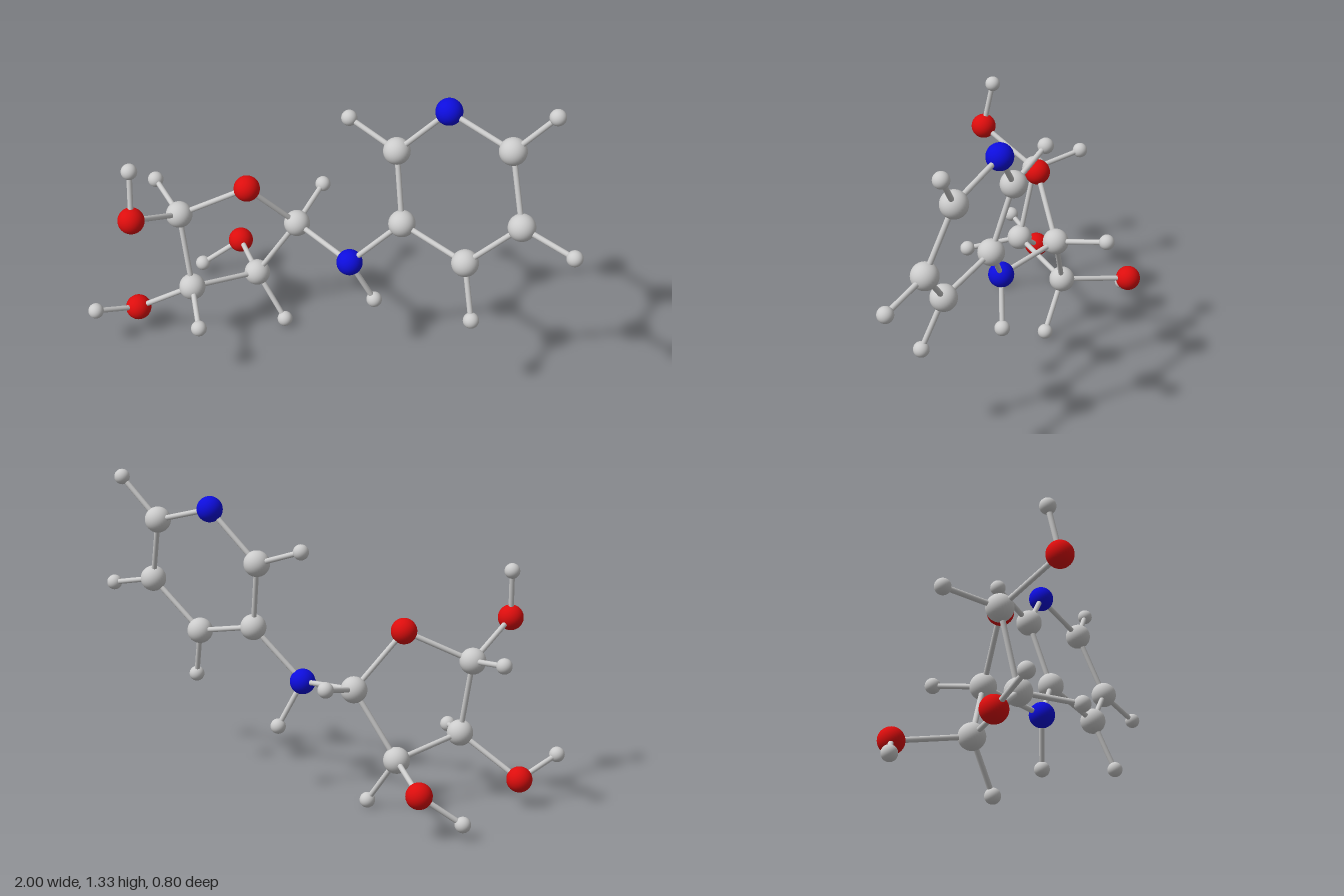
import * as THREE from 'three';

const MATERIALS = {
  grey: new THREE.MeshStandardMaterial({ color: 0xcccccc }),
  red: new THREE.MeshStandardMaterial({ color: 0xdd0d0d }),
  blue: new THREE.MeshStandardMaterial({ color: 0x0d0ddd }),
};

// Ball kinds: plain name, radius, material
const KINDS = {
  C: { name: 'carbon', radius: 0.054, material: MATERIALS.grey },
  H: { name: 'hydrogen', radius: 0.032, material: MATERIALS.grey },
  O: { name: 'oxygen', radius: 0.053, material: MATERIALS.red },
  N: { name: 'nitrogen', radius: 0.053, material: MATERIALS.blue },
};
const BOND_RADIUS = 0.011;

// Atom centres; the first letter of each key gives the kind
const ATOMS = {
  // six-sided ring
  N1: [0.443, 1.196, 0.049],
  C2: [0.245, 0.984, 0.032],
  C3: [0.283, 0.70, 0.116],
  C4: [0.55, 0.641, 0.25],
  C5: [0.758, 0.853, 0.271],
  C6: [0.70, 1.124, 0.169],
  H2: [0.042, 1.056, -0.06],
  H4: [0.592, 0.428, 0.334],
  H5: [0.966, 0.807, 0.369],
  H6: [0.854, 1.297, 0.179],
  // link between the rings
  N7: [0.075, 0.48, 0.115],
  H7: [0.175, 0.287, 0.095],
  // five-sided ring
  C8: [-0.176, 0.51, -0.071],
  C9: [-0.352, 0.228, -0.074],
  C10: [-0.577, 0.292, 0.148],
  C11: [-0.63, 0.612, 0.09],
  O12: [-0.358, 0.735, 0.035],
  H8: [-0.107, 0.564, -0.292],
  H9: [-0.225, 0.034, -0.021],
  H10: [-0.497, 0.26, 0.369],
  H11: [-0.774, 0.645, -0.091],
  // side groups of the five-sided ring
  O9: [-0.486, 0.18, -0.348],
  H13: [-0.652, 0.061, -0.306],
  O10: [-0.828, 0.12, 0.112],
  H14: [-0.967, 0.192, 0.253],
  O11: [-0.753, 0.742, 0.337],
  H15: [-0.758, 0.945, 0.295],
};

// Each chain joins its neighbours with rods
const CHAINS = [
  'N1 C2 C3 C4 C5 C6 N1',
  'C8 C9 C10 C11 O12 C8',
  'C3 N7 C8', 'N7 H7',
  'C2 H2', 'C4 H4', 'C5 H5', 'C6 H6',
  'C8 H8', 'C9 H9', 'C10 H10', 'C11 H11',
  'C9 O9 H13', 'C10 O10 H14', 'C11 O11 H15',
];

export function createModel() {
  const model = new THREE.Group();
  model.name = 'ballAndStickMolecule';
  const ball = new THREE.SphereGeometry(1, 32, 24);
  const rod = new THREE.CylinderGeometry(BOND_RADIUS, BOND_RADIUS, 1, 16);
  const up = new THREE.Vector3(0, 1, 0);

  // Balls
  for (const [key, position] of Object.entries(ATOMS)) {
    const kind = KINDS[key[0]];
    const mesh = new THREE.Mesh(ball, kind.material);
    mesh.name = `${kind.name}Ball`;
    mesh.position.set(...position);
    mesh.scale.setScalar(kind.radius);
    model.add(mesh);
  }

  // Rods, stretched from centre to centre
  for (const chain of CHAINS) {
    const keys = chain.split(' ');
    for (let i = 1; i < keys.length; i++) {
      const a = new THREE.Vector3(...ATOMS[keys[i - 1]]);
      const b = new THREE.Vector3(...ATOMS[keys[i]]);
      const mesh = new THREE.Mesh(rod, MATERIALS.grey);
      mesh.name = 'bondRod';
      mesh.position.copy(a).lerp(b, 0.5);
      mesh.scale.y = a.distanceTo(b);
      mesh.quaternion.setFromUnitVectors(up, b.sub(a).normalize());
      model.add(mesh);
    }
  }
  return model;
}
